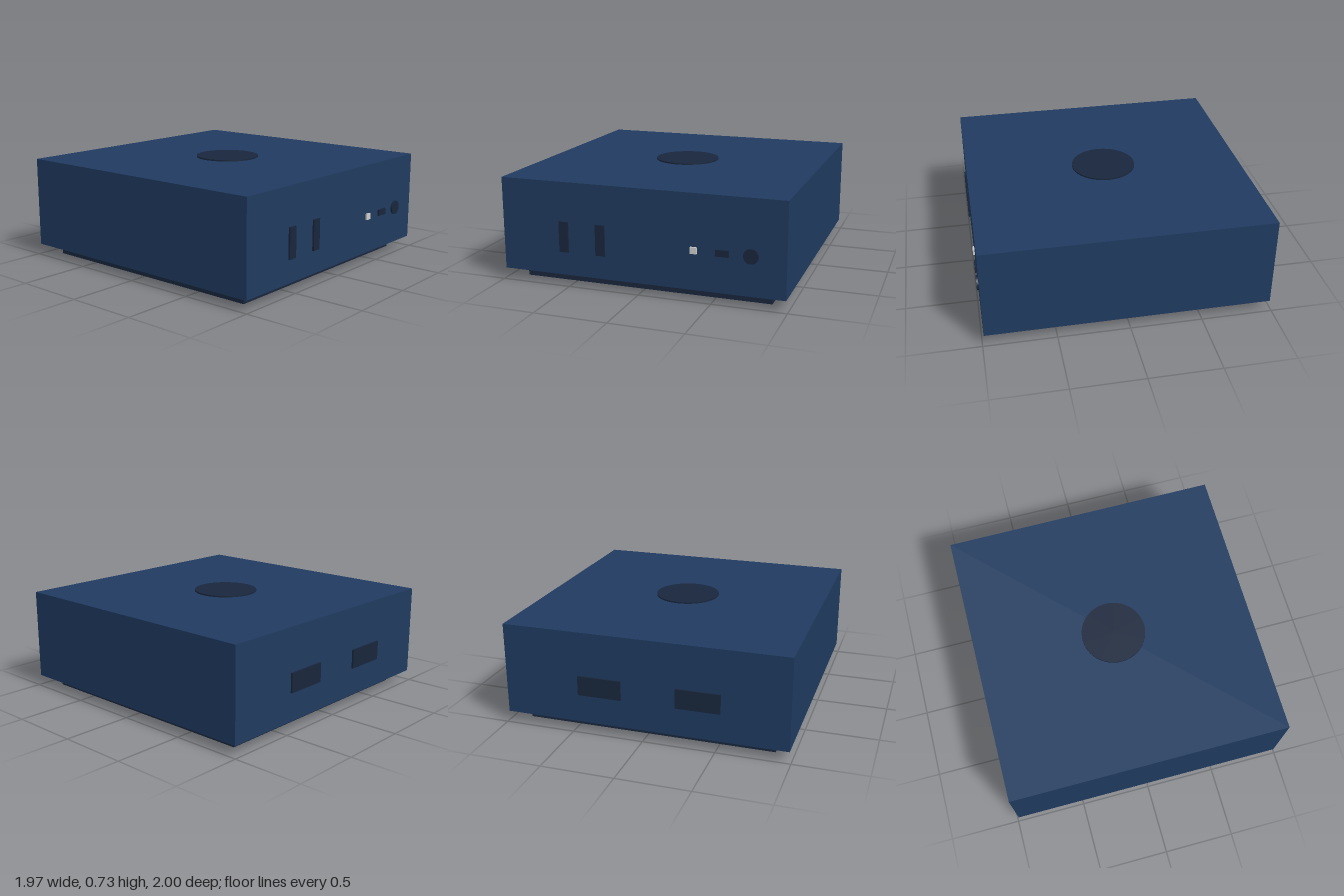
import * as THREE from 'three';

const navy = new THREE.MeshStandardMaterial({ color: 0x1f3a5f });
const dark = new THREE.MeshStandardMaterial({ color: 0x18263c });
const grey = new THREE.MeshStandardMaterial({ color: 0xcccccc });

const HALF = 0.987; // half width of the case
const OUT = 0.013; // how far the ports stand proud
const SINK = 0.01; // how far the ports reach into the case

export function createModel() {
  const model = new THREE.Group();
  model.name = 'miniComputer';

  const add = (name, geometry, material, x, y, z) => {
    const mesh = new THREE.Mesh(geometry, material);
    mesh.name = name;
    mesh.position.set(x, y, z);
    model.add(mesh);
    return mesh;
  };

  // Ports on the front (side = 1) or back (side = -1) wall
  const portZ = HALF + (OUT - SINK) / 2;
  const port = (name, x, y, w, h, side, material = dark) =>
    add(name, new THREE.BoxGeometry(w, h, OUT + SINK), material, x, y, side * portZ);

  // Case on its inset base
  add('case', new THREE.BoxGeometry(HALF * 2, 0.643, HALF * 2), navy, 0, 0.3985, 0);
  add('base', new THREE.BoxGeometry(1.75, 0.077, 1.75), dark, 0, 0.0385, 0);

  // Round plate on the lid
  add('topDisc', new THREE.CylinderGeometry(0.227, 0.227, 0.02, 64), dark, 0, 0.72, 0);

  // Front: two upright ports, status light, small slot and round jack
  for (const x of [-0.532, -0.268]) port('frontUprightPort', x, 0.345, 0.066, 0.212, 1);
  port('statusLight', 0.38, 0.345, 0.044, 0.044, 1, grey);
  port('frontSlot', 0.57, 0.345, 0.09, 0.044, 1);
  const jack = add('frontJack', new THREE.CylinderGeometry(0.05, 0.05, OUT + SINK, 32), dark, 0.758, 0.345, portZ);
  jack.rotation.x = Math.PI / 2;

  // Back: two wide ports
  for (const x of [-0.38, 0.302]) port('backPort', x, 0.345, 0.304, 0.136, -1);

  return model;
}
